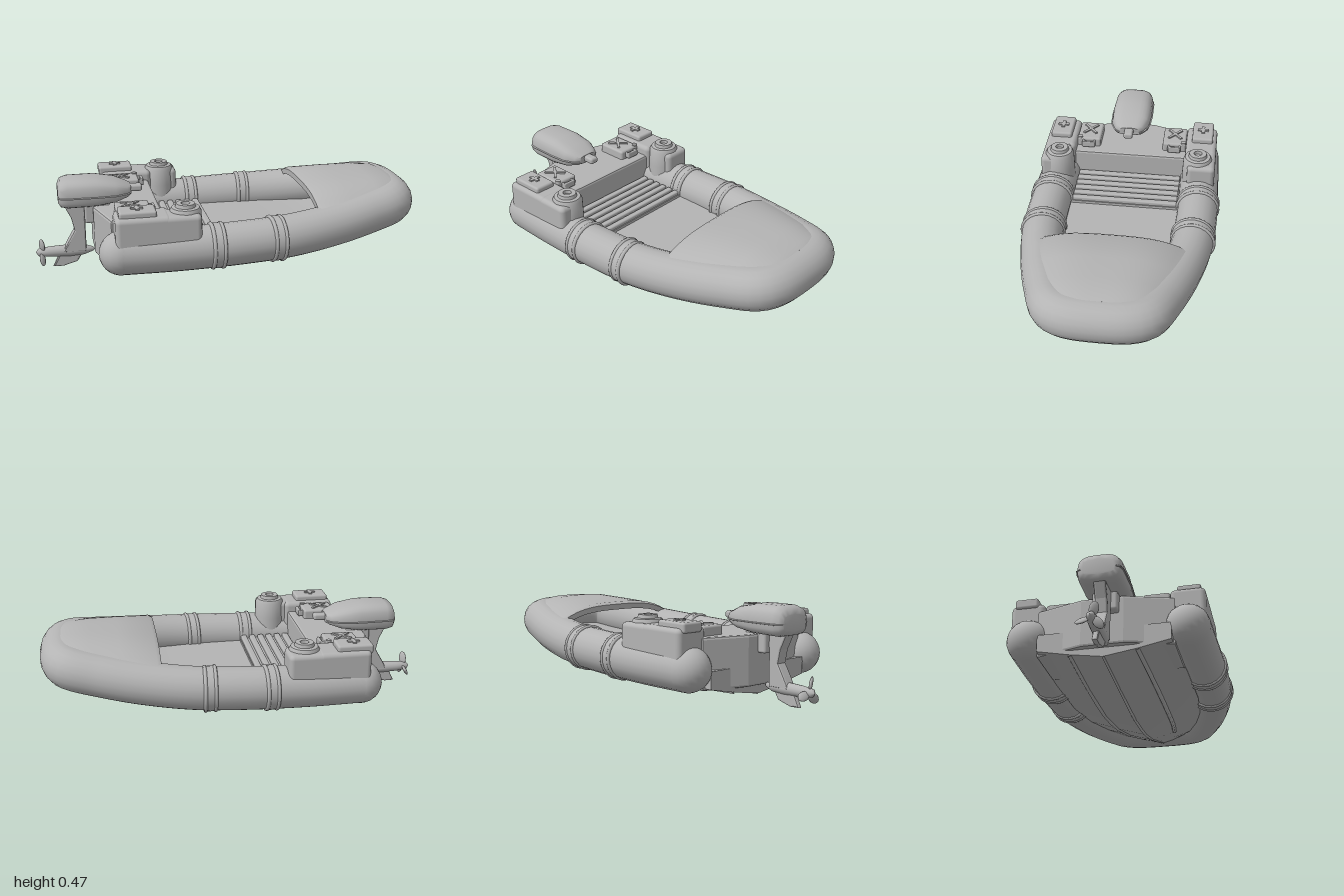
import * as THREE from 'three';
import { toCreasedNormals } from 'three/addons/utils/BufferGeometryUtils.js';
import { RoundedBoxGeometry } from 'three/addons/geometries/RoundedBoxGeometry.js';

const grey = new THREE.MeshStandardMaterial({ color: 0xb4b4b4 });
grey.name = 'plain grey';

// Skins closed rings of [z, y] points (counter-clockwise) placed along x, with end caps
function loft(stations, crease = 0.7) {
  const pos = [], idx = [], n = stations[0].ring.length;
  for (const { x, ring } of stations) for (const [z, y] of ring) pos.push(x, y, z);
  for (let i = 0; i < stations.length - 1; i++) {
    for (let j = 0; j < n; j++) {
      const a = i * n + j, b = i * n + (j + 1) % n;
      idx.push(a, a + n, b, b, a + n, b + n);
    }
  }
  for (const end of [0, stations.length - 1]) {
    const shape = stations[end].ring.map(p => new THREE.Vector2(...p));
    for (const [a, b, c] of THREE.ShapeUtils.triangulateShape(shape, [])) {
      const o = end * n;
      end ? idx.push(o + a, o + c, o + b) : idx.push(o + a, o + b, o + c);
    }
  }
  const g = new THREE.BufferGeometry();
  g.setAttribute('position', new THREE.Float32BufferAttribute(pos, 3));
  g.setIndex(idx);
  return toCreasedNormals(g, crease);
}

// Rounded-rectangle ring for the engine cover
function softRing(half, y0, y1) {
  return Array.from({ length: 24 }, (_, i) => {
    const a = i / 24 * Math.PI * 2, c = Math.cos(a), s = Math.sin(a);
    const f = v => Math.sign(v) * Math.pow(Math.abs(v), 0.55);
    return [half * f(c) * (s > 0 ? 1 - 0.15 * s : 1), (y0 + y1) / 2 + (y1 - y0) / 2 * f(s)];
  });
}

export function createModel() {
  const model = new THREE.Group();
  const add = (name, geo, x = 0, y = 0, z = 0, parent = model) => {
    const m = new THREE.Mesh(geo, grey);
    m.name = name;
    m.position.set(x, y, z);
    parent.add(m);
    return m;
  };
  const box = (w, h, d, r = 0.012) => new RoundedBoxGeometry(w, h, d, 2, r);

  // Inflatable collar running round the bow
  const R = 0.108;
  const side = [[-0.59, 0.192, 0.385], [-0.3, 0.193, 0.393], [0, 0.203, 0.397], [0.25, 0.215, 0.382],
    [0.5, 0.238, 0.332], [0.7, 0.265, 0.272], [0.84, 0.286, 0.213], [0.878, 0.291, 0.15]];
  const path = [...side, [0.892, 0.293, 0], ...side.map(([x, y, z]) => [x, y, -z]).reverse()];
  const curve = new THREE.CatmullRomCurve3(path.map(p => new THREE.Vector3(...p)), false, 'centripetal');
  add('inflatableCollar', new THREE.TubeGeometry(curve, 120, R, 20));
  for (const s of [1, -1]) add('collarEnd', new THREE.SphereGeometry(R, 20, 14), -0.59, 0.192, s * 0.385);

  // Paired straps wrapped round the collar
  for (const s of [1, -1]) {
    for (const x of [-0.15, -0.1, 0.15, 0.2]) {
      const y = x < 0 ? 0.199 : 0.21, z = x < 0 ? 0.397 : 0.389;
      const strap = add('collarStrap', new THREE.TorusGeometry(R, 0.01, 8, 28), x, y, s * z);
      strap.rotation.y = Math.PI / 2 + (x < 0 ? 0 : s * 0.07);
    }
    for (const [x, y, z] of [[-0.125, 0.199, 0.397], [0.175, 0.21, 0.389]]) {
      const band = add('strapBand', new THREE.CylinderGeometry(R + 0.004, R + 0.004, 0.05, 28), x, y, s * z);
      band.rotation.z = Math.PI / 2;
    }
  }

  // V-shaped hull whose flat top is the cockpit floor: x, keel y, chine half width, chine y
  const hull = [[-0.67, 0.042, 0.32, 0.1], [-0.3, 0.022, 0.335, 0.1], [0.05, 0.008, 0.335, 0.112],
    [0.3, 0.03, 0.31, 0.135], [0.5, 0.075, 0.26, 0.16], [0.7, 0.138, 0.19, 0.19], [0.86, 0.19, 0.1, 0.22]];
  add('hull', loft(hull.map(([x, k, w, c]) => {
    const top = Math.max(0.185, c + 0.03);
    return { x, ring: [[0, k], [w * 0.5, (k + c) / 2 - 0.004], [w, c], [w, top],
      [-w, top], [-w, c], [-w * 0.5, (k + c) / 2 - 0.004]] };
  }), 0.5));
  add('keelStrip', new THREE.TubeGeometry(new THREE.CatmullRomCurve3(
    hull.map(([x, k]) => new THREE.Vector3(x, k + 0.004, 0))), 30, 0.008, 6));
  for (const s of [1, -1]) {
    const pts = hull.slice(0, 5).map(([x, k, w, c]) => new THREE.Vector3(x, (k + c) / 2, s * w * 0.5));
    add('hullStrake', new THREE.TubeGeometry(new THREE.CatmullRomCurve3(pts), 30, 0.012, 6));
  }

  // Crowned bow deck, an open shell above the floor: x, half width, edge y, crown y
  const deck = [[0.405, 0.37, 0.325, 0.388], [0.425, 0.375, 0.33, 0.4], [0.6, 0.338, 0.343, 0.41],
    [0.75, 0.29, 0.36, 0.417], [0.86, 0.245, 0.37, 0.41], [0.89, 0.2, 0.372, 0.4]];
  add('bowDeck', loft(deck.map(([x, w, e, t]) => {
    const ring = [], drop = 0.03;
    for (let i = 0; i <= 32; i++) {
      const under = i > 16, u = under ? (i - 17) / 7.5 - 1 : 1 - i / 8;
      ring.push([w * u, e + (t - e) * (1 - Math.pow(Math.abs(u), 3.2)) - (under ? drop : 0)]);
    }
    return { x, ring };
  })));

  // Slatted floor ahead of the stern bench
  add('slatBase', new THREE.BoxGeometry(0.28, 0.02, 0.58), -0.23, 0.19, 0);
  for (let i = 0; i < 6; i++) add('floorSlat', box(0.032, 0.025, 0.57, 0.008), -0.345 + i * 0.047, 0.208, 0);

  // Stern bench with the transom bulging aft
  const plan = new THREE.Shape([[-0.378, -0.32], [-0.378, 0.32], [-0.62, 0.32], [-0.685, 0.1],
    [-0.685, -0.1], [-0.62, -0.32]].map(p => new THREE.Vector2(...p)));
  const bench = new THREE.ExtrudeGeometry(plan, { depth: 0.225, bevelSize: 0.012, bevelThickness: 0.012, bevelSegments: 2 });
  bench.rotateX(Math.PI / 2);
  add('sternBench', bench, 0, 0.325, 0);

  // Side consoles with their lids, cases and mounts
  for (const s of [1, -1]) {
    add('sideConsole', box(0.27, 0.23, 0.17, 0.025), -0.485, 0.273, s * 0.39);
    add('consoleShoulder', box(0.24, 0.23, 0.15, 0.025), -0.325, 0.271, s * 0.4);
    const mount = new THREE.Group();
    mount.name = 'roundMount';
    mount.position.set(-0.285 + s * 0.012, 0, s * 0.378);
    model.add(mount);
    const profile = [[0.083, 0.18], [0.081, 0.3], [0.077, 0.385], [0.068, 0.402], [0.05, 0.405], [0.046, 0.422],
      [0.022, 0.422], [0.02, 0.405], [0, 0.405]];
    add('mountBody', toCreasedNormals(new THREE.LatheGeometry(profile.map(p => new THREE.Vector2(...p)), 28), 0.6), 0, 0, 0, mount);

    // Outer case with a raised plus
    const caseX = -0.525 + s * 0.015;
    add('outerCase', box(0.18, 0.05, 0.115), caseX, 0.39, s * 0.395);
    add('casePlus', new THREE.BoxGeometry(0.06, 0.008, 0.018), caseX, 0.418, s * 0.395);
    add('casePlus', new THREE.BoxGeometry(0.018, 0.008, 0.06), caseX, 0.418, s * 0.395);

    // Fuel can with crossed ribs, a handle and a cap
    const can = new THREE.Group();
    can.name = 'fuelCan';
    can.position.set(-0.515, 0, s * 0.24);
    model.add(can);
    add('canBody', box(0.17, 0.06, 0.13), 0, 0.355, 0, can);
    for (const t of [1, -1]) {
      add('canRib', new THREE.BoxGeometry(0.11, 0.008, 0.014), -0.01, 0.388, 0, can).rotation.y = t * 0.7;
      add('handleArm', box(0.035, 0.03, 0.014, 0.005), 0.092, 0.36, t * 0.03, can);
    }
    add('canHandle', box(0.014, 0.035, 0.07, 0.005), 0.105, 0.36, 0, can);
    add('canCap', new THREE.CylinderGeometry(0.014, 0.014, 0.03, 12), 0.07, 0.375, s * 0.05, can);
  }

  // Outboard engine
  const engine = new THREE.Group();
  engine.name = 'outboardEngine';
  engine.position.z = 0.022;
  model.add(engine);
  const cowl = [[-0.868, 0.08, 0.36, 0.44], [-0.855, 0.1, 0.34, 0.468], [-0.82, 0.108, 0.332, 0.479],
    [-0.68, 0.112, 0.335, 0.479], [-0.58, 0.106, 0.35, 0.46], [-0.52, 0.08, 0.37, 0.435], [-0.5, 0.055, 0.38, 0.425]];
  add('engineCover', loft(cowl.map(([x, w, a, b]) => ({ x, ring: softRing(w, a, b) })), 0.9), 0, 0, 0, engine);
  add('coverSeam', loft(cowl.map(([x, w]) => ({ x, ring: softRing(w + 0.006, 0.388, 0.402) }))), 0, 0, 0, engine);
  add('tiller', box(0.08, 0.035, 0.05), -0.48, 0.405, 0, engine);
  add('transomBracket', box(0.13, 0.1, 0.12), -0.675, 0.295, 0, engine);

  // Leg and skeg cut from side outlines
  const plate = (points, depth) => {
    const g = new THREE.ExtrudeGeometry(new THREE.Shape(points.map(p => new THREE.Vector2(...p))),
      { depth, bevelSize: 0.008, bevelThickness: 0.01, bevelSegments: 2 });
    return g.translate(0, 0, -depth / 2);
  };
  add('engineLeg', plate([[-0.84, 0.35], [-0.8, 0.27], [-0.785, 0.2], [-0.82, 0.14], [-0.85, 0.09],
    [-0.745, 0.09], [-0.745, 0.27], [-0.69, 0.35]], 0.04), 0, 0, 0, engine);
  add('skeg', plate([[-0.86, 0.09], [-0.9, 0.012], [-0.86, 0.012], [-0.79, 0.032], [-0.75, 0.09]], 0.008), 0, 0, 0, engine);
  const pod = [[0, -0.69], [0.012, -0.705], [0.027, -0.75], [0.031, -0.82], [0.027, -0.92], [0.02, -0.98], [0, -0.995]];
  const podGeo = new THREE.LatheGeometry(pod.map(([r, x]) => new THREE.Vector2(r, x)).reverse(), 16);
  add('gearPod', podGeo.rotateZ(-Math.PI / 2), 0, 0.086, 0, engine);

  // Three-bladed propeller
  for (let i = 0; i < 3; i++) {
    const blade = new THREE.SphereGeometry(1, 12, 8);
    blade.scale(0.009, 0.036, 0.023).rotateY(0.6).translate(0, 0.042, 0);
    add('propellerBlade', blade, -0.962, 0.086, 0, engine).rotation.x = i * Math.PI * 2 / 3 + 0.25;
  }
  return model;
}
